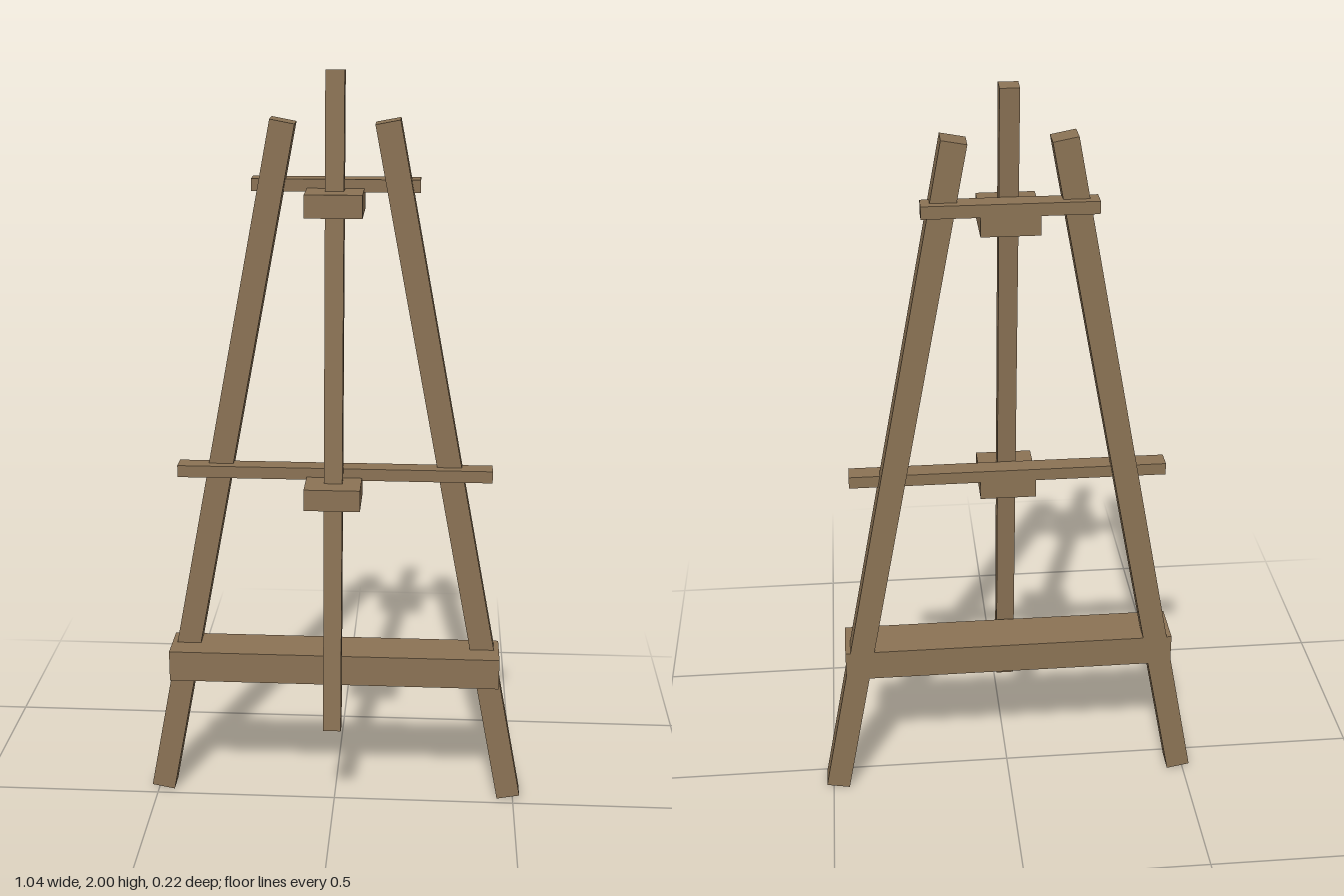
import * as THREE from 'three';

export function createModel() {
  const wood = new THREE.MeshStandardMaterial({ color: 0x8b7355 });
  wood.name = 'wood';
  const easel = new THREE.Group();
  easel.name = 'easel';

  // Box given by its half width and its y and z ranges, centred on x = 0
  function bar(name, halfX, y0, y1, z0, z1) {
    const mesh = new THREE.Mesh(new THREE.BoxGeometry(halfX * 2, y1 - y0, z1 - z0), wood);
    mesh.position.set(0, (y0 + y1) / 2, (z0 + z1) / 2);
    mesh.name = name;
    easel.add(mesh);
  }

  // Square-ended post running between two points
  function post(name, from, to, width, depth) {
    const a = new THREE.Vector3(...from), b = new THREE.Vector3(...to);
    const dir = b.clone().sub(a);
    const mesh = new THREE.Mesh(new THREE.BoxGeometry(width, dir.length(), depth), wood);
    mesh.position.copy(a).add(b).multiplyScalar(0.5);
    mesh.quaternion.setFromUnitVectors(new THREE.Vector3(0, 1, 0), dir.normalize());
    mesh.name = name;
    easel.add(mesh);
  }

  // Splayed side legs
  for (const [name, s] of [['leftLeg', 1], ['rightLeg', -1]]) {
    post(name, [s * 0.487, 0.006, -0.055], [s * 0.132, 1.874, -0.055], 0.064, 0.064);
  }

  // Leaning centre mast
  post('centreMast', [0, 0.262, 0.085], [0, 1.998, -0.053], 0.048, 0.045);

  // Lower tray, and the two cross rails with their mast blocks
  bar('lowerTray', 0.448, 0.37, 0.455, -0.087, 0.042);
  bar('middleRail', 0.416, 0.945, 0.977, -0.048, 0.003);
  bar('middleBlock', 0.073, 0.895, 0.952, -0.046, 0.107);
  bar('upperRail', 0.215, 1.695, 1.727, -0.108, -0.057);
  bar('upperBlock', 0.073, 1.645, 1.704, -0.106, 0.047);

  return easel;
}
